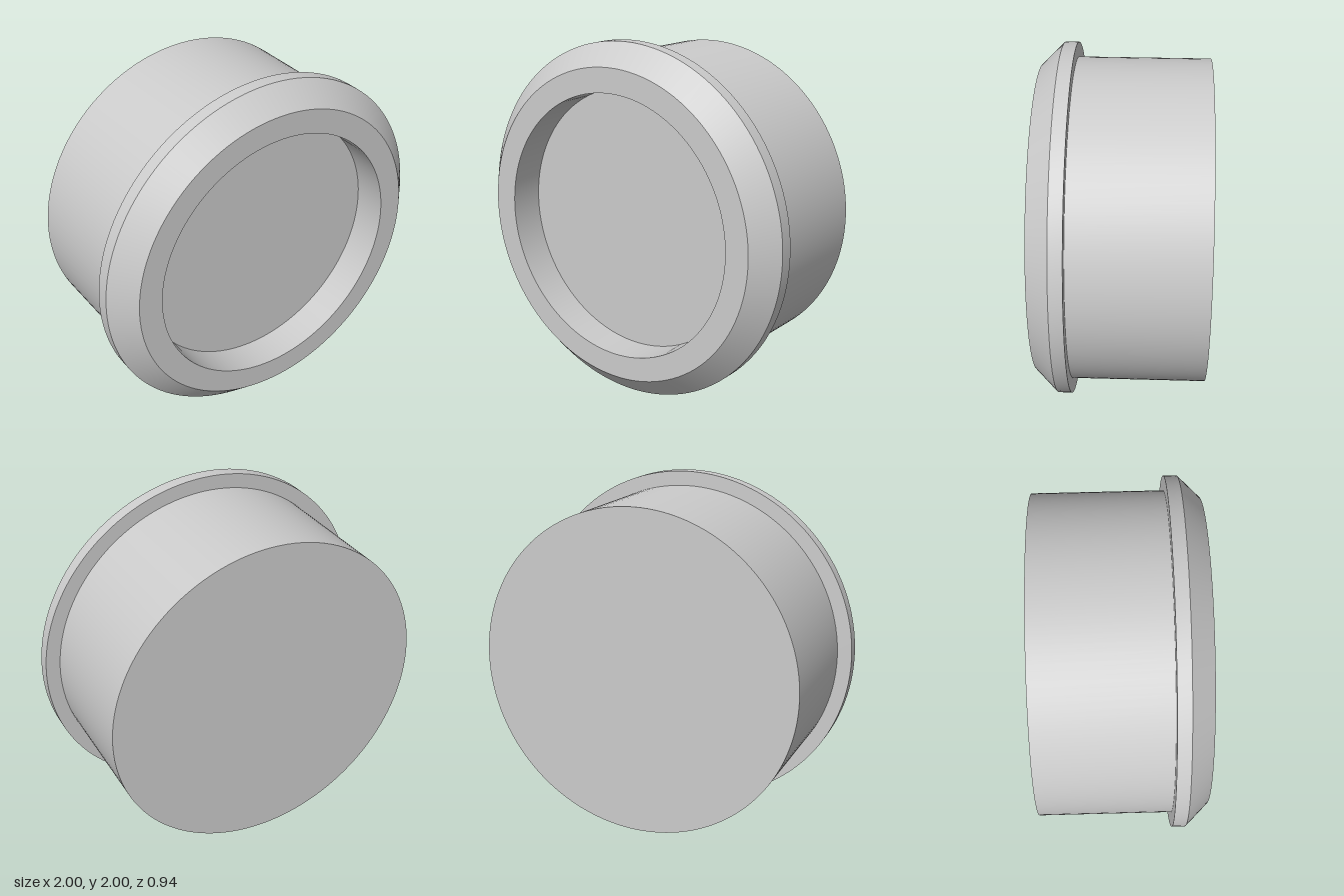
import * as THREE from 'three';
import { toCreasedNormals } from 'three/addons/utils/BufferGeometryUtils.js';

const SEGMENTS = 128;

// Revolve a [radius, z] profile about the z axis, keeping its corners sharp
function turned(name, profile, material) {
  const points = profile.map(([r, z]) => new THREE.Vector2(r, z));
  const lathe = new THREE.LatheGeometry(points, SEGMENTS).rotateX(Math.PI / 2);
  const mesh = new THREE.Mesh(toCreasedNormals(lathe, 0.5), material);
  mesh.name = name;
  mesh.position.y = 1;
  return mesh;
}

export function createModel() {
  const group = new THREE.Group();
  group.name = 'flangedCap';
  const material = new THREE.MeshStandardMaterial({ color: 0xcccccc });

  const back = -0.47, front = 0.47, flangeBack = 0.27, chamferStart = 0.345;
  const bodyR = 0.918, flangeR = 1, faceR = 0.877, recessR = 0.74;

  // Plain cylindrical plug, closed at the back
  group.add(turned('body', [
    [0, back], [bodyR, back], [bodyR, flangeBack],
  ], material));

  // Chamfered flange with a shallow round recess in its face
  group.add(turned('flange', [
    [bodyR, flangeBack], [flangeR, flangeBack], [flangeR, chamferStart],
    [faceR, front], [recessR, front], [recessR, flangeBack], [0, flangeBack],
  ], material));

  return group;
}
